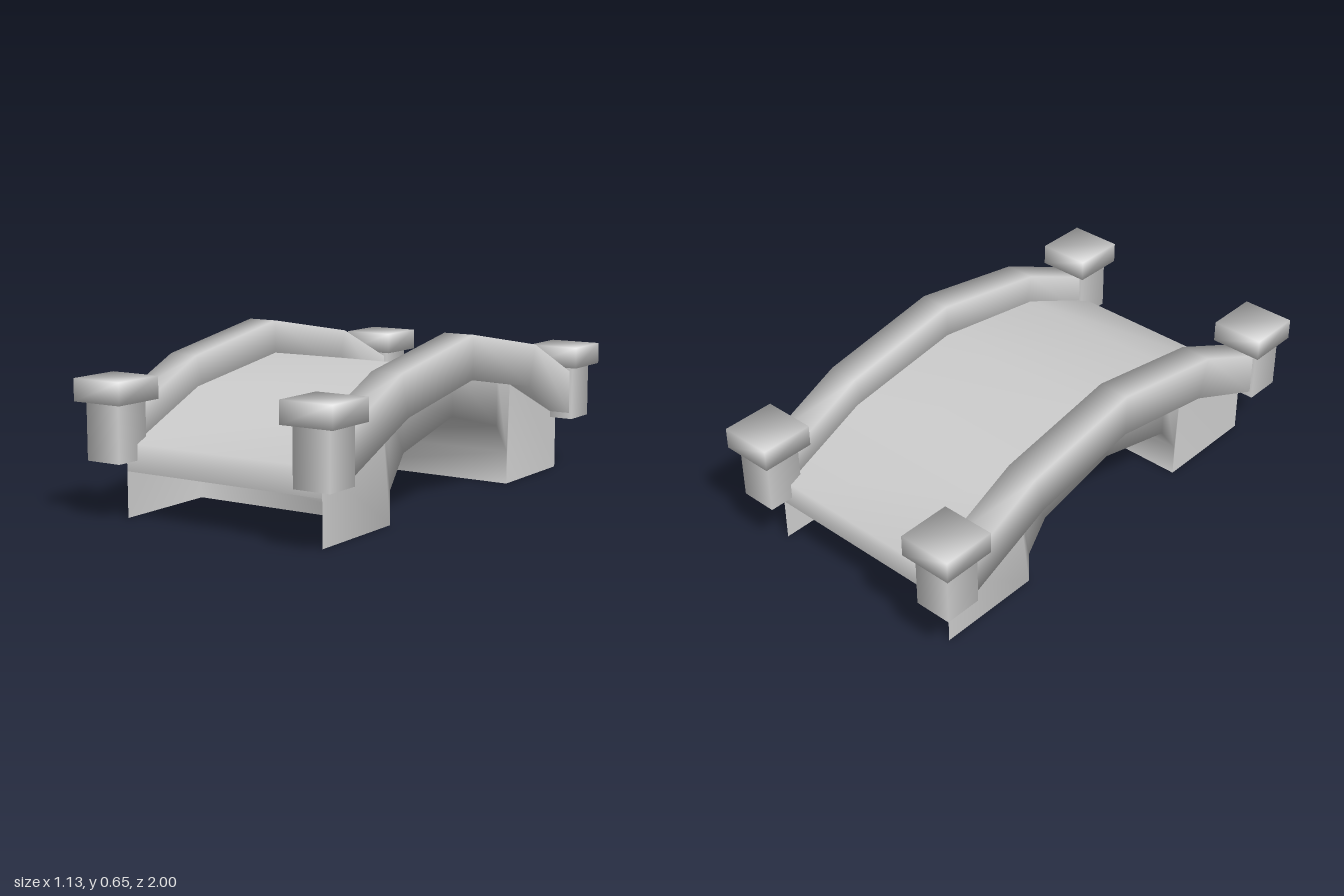
import * as THREE from 'three';

const stone = new THREE.MeshStandardMaterial({ color: 0xcccccc, side: THREE.DoubleSide });
stone.name = 'stone grey';

// Repeats half a list of stations (front end to crown) for the back half
function mirrorStations(half, flip) {
  return [...half, ...half.slice(0, -1).reverse().map(flip)];
}

// Smooth skin over rows of [x, y, z] points; keep(i, j) can leave quads out
function skin(rows, closed = false, keep = () => true) {
  const n = rows[0].length;
  const index = [];
  for (let i = 0; i < rows.length - 1; i++) {
    for (let j = 0; j < (closed ? n : n - 1); j++) {
      if (!keep(i, j)) continue;
      const k = (j + 1) % n;
      const a = i * n + j, b = i * n + k, c = (i + 1) * n + k, d = (i + 1) * n + j;
      index.push(a, b, c, a, c, d);
    }
  }
  const geo = new THREE.BufferGeometry();
  geo.setAttribute('position', new THREE.Float32BufferAttribute(rows.flat(2), 3));
  geo.setIndex(index);
  geo.computeVertexNormals();
  return geo;
}

// Box whose normals point out through its corners, for a soft look
function softBox(w, h, d) {
  const geo = new THREE.BoxGeometry(w, h, d);
  const p = geo.attributes.position, n = geo.attributes.normal;
  const s = 1 / Math.sqrt(3);
  for (let i = 0; i < p.count; i++) {
    n.setXYZ(i, Math.sign(p.getX(i)) * s, Math.sign(p.getY(i)) * s, Math.sign(p.getZ(i)) * s);
  }
  return geo;
}

export function createModel() {
  const bridge = new THREE.Group();
  bridge.name = 'bridge';
  const add = (name, geo, x = 0, y = 0, z = 0) => {
    const mesh = new THREE.Mesh(geo, stone);
    mesh.name = name;
    mesh.position.set(x, y, z);
    bridge.add(mesh);
  };
  const W = 0.432;

  // Walking deck with an upright lip at each end
  const deckLine = mirrorStations(
    [[0.87, 0.175], [0.87, 0.28], [0.5, 0.446], [0, 0.522]], ([z, y]) => [-z, y]);
  add('deck', skin(deckLine.map(([z, y]) => [[-W, y, z], [W, y, z]])));

  // Side walls and arch underside, open at the ends and feet: [top z, top y, bottom z, bottom y]
  const archLine = mirrorStations([
    [0.87, 0.28, 0.87, 0],
    [0.5, 0.446, 0.44, 0],
    [0.46, 0.452, 0.44, 0.13],
    [0.35, 0.469, 0.35, 0.25],
    [0, 0.522, 0, 0.335],
  ], ([tz, ty, bz, by]) => [-tz, ty, -bz, by]);
  const archRows = archLine.map(([tz, ty, bz, by]) =>
    [[W, ty, tz], [W, by, bz], [-W, by, bz], [-W, ty, tz]]);
  const last = archRows.length - 2;
  add('archAndSideWalls', skin(archRows, false, (i, j) => j !== 1 || (i > 0 && i < last)));

  // Handrail stations: [top z, top y, bottom z, bottom y]
  const railLine = mirrorStations([
    [0.82, 0.42, 0.82, 0.245],
    [0.505, 0.565, 0.46, 0.402],
    [0, 0.653, 0, 0.483],
  ], ([tz, ty, bz, by]) => [-tz, ty, -bz, by]);
  const r = 0.0625;
  const railGeo = skin(railLine.map(([tz, ty, bz, by]) =>
    [[-r, ty, tz], [r, ty, tz], [r, by, bz], [-r, by, bz]]), true);

  // Hollow square posts and their caps
  const postRadius = 0.075 * Math.SQRT2;
  const postGeo = new THREE.CylinderGeometry(postRadius, postRadius, 0.22, 4, 1, true);
  postGeo.rotateY(Math.PI / 4);
  const capGeo = softBox(0.215, 0.085, 0.215);

  for (const s of [1, -1]) {
    const side = s > 0 ? 'left' : 'right';
    add(side + 'Handrail', railGeo, s * 0.457);
    for (const e of [1, -1]) {
      const place = side + (e > 0 ? 'Front' : 'Back');
      add(place + 'Post', postGeo, s * 0.457, 0.33, e * 0.895);
      add(place + 'PostCap', capGeo, s * 0.457, 0.4815, e * 0.8925);
    }
  }
  return bridge;
}
